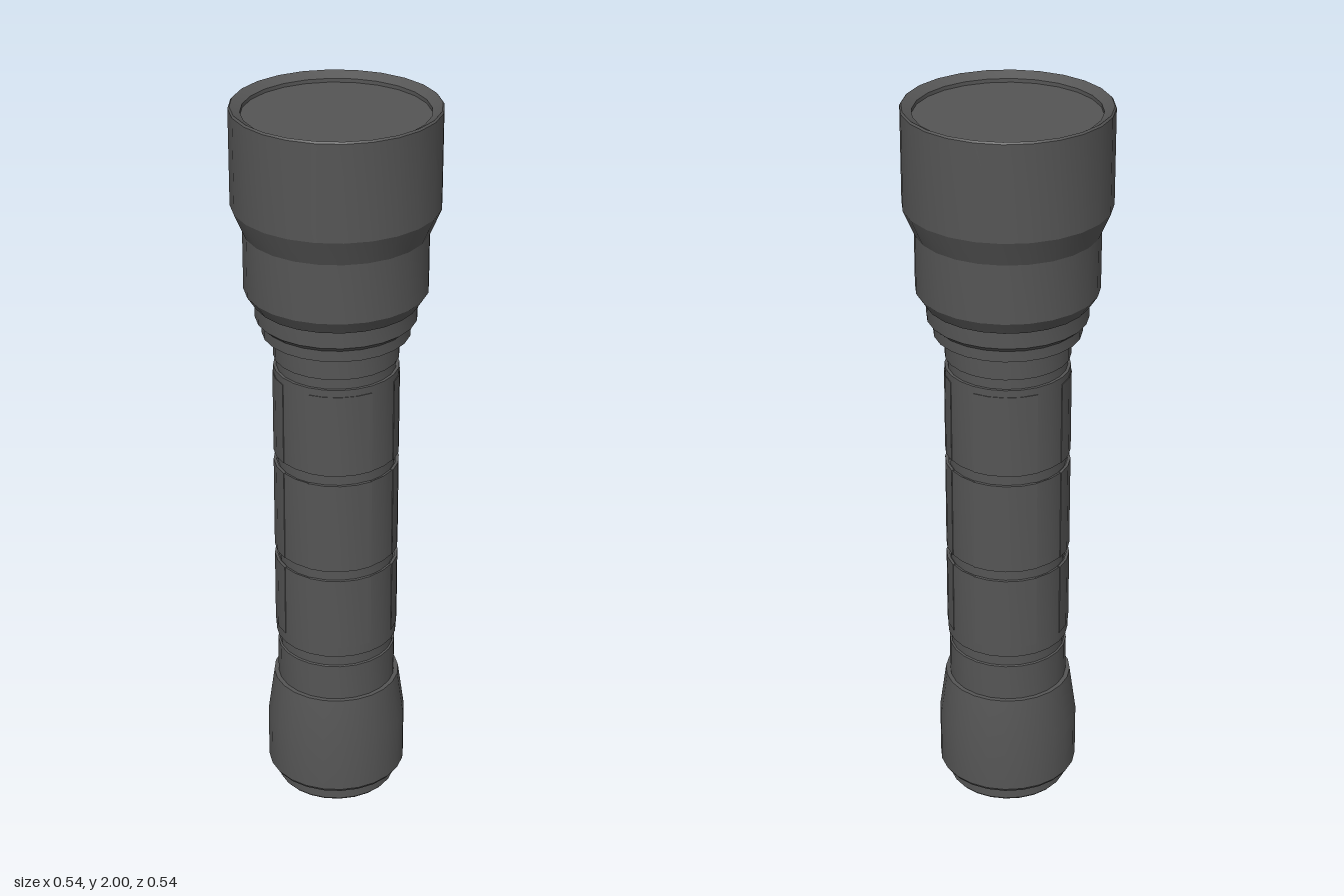
import * as THREE from 'three';
import { toCreasedNormals } from 'three/addons/utils/BufferGeometryUtils.js';

const SIDES = 24;
const material = new THREE.MeshStandardMaterial({ color: 0x555555 });

function addMesh(group, name, geometry) {
  const mesh = new THREE.Mesh(toCreasedNormals(geometry, 0.32), material);
  mesh.name = name;
  group.add(mesh);
  return mesh;
}

// Turned part from [radius, height] pairs, listed bottom to top
function addTurned(group, name, profile) {
  const points = profile.map(([r, y]) => new THREE.Vector2(r, y));
  return addMesh(group, name, new THREE.LatheGeometry(points, SIDES));
}

// Thin curved panel lying on the tube, aligned with its facets
function gripPanel(centreDeg, height) {
  const inner = [], outer = [];
  for (let i = -2; i <= 2; i++) {
    const a = THREE.MathUtils.degToRad(centreDeg + i * 15);
    outer.push(new THREE.Vector2(Math.cos(a) * 0.168, Math.sin(a) * 0.168));
    inner.unshift(new THREE.Vector2(Math.cos(a) * 0.16, Math.sin(a) * 0.16));
  }
  const shape = new THREE.Shape([...outer, ...inner]);
  const geometry = new THREE.ExtrudeGeometry(shape, { depth: height, bevelEnabled: false });
  return geometry.rotateX(-Math.PI / 2);
}

export function createModel() {
  const model = new THREE.Group();
  model.name = 'flashlight';

  // Tail button and flared tail cap
  addTurned(model, 'tailButton', [[0, 0], [0.16, 0], [0.165, 0.006], [0.165, 0.05]]);
  addTurned(model, 'tailCap', [
    [0.15, 0.045], [0.185, 0.045], [0.192, 0.055], [0.192, 0.21], [0.174, 0.34], [0.15, 0.34],
  ]);

  // Handle tube with ring grooves
  const tube = [[0.162, 0.33], [0.162, 0.445]];
  const sections = [[0.48, 0.72], [0.75, 1.01], [1.04, 1.29]];
  for (const [low, high] of sections) {
    tube.push([0.157, low - 0.033], [0.157, low], [0.166, low], [0.166, high]);
  }
  tube.push([0.158, 1.29], [0.158, 1.32], [0.166, 1.32], [0.166, 1.4]);
  addTurned(model, 'handleTube', tube);

  // Shallow grip panels between the grooves
  const panelSpans = [[0.51, 0.72], [0.75, 1.01], [1.04, 1.27]];
  for (const angle of [45, 135, 225, 315]) {
    for (const [low, high] of panelSpans) {
      addMesh(model, 'gripPanel', gripPanel(angle, high - low)).position.y = low;
    }
  }

  // Stepped neck
  addTurned(model, 'neck', [
    [0.15, 1.385], [0.195, 1.385], [0.195, 1.415], [0.212, 1.43], [0.212, 1.475],
    [0.205, 1.475], [0.205, 1.49],
  ]);

  // Head with inward sloping rim
  addTurned(model, 'head', [
    [0.19, 1.475], [0.217, 1.475], [0.24, 1.51], [0.24, 1.67], [0.27, 1.74],
    [0.27, 1.995], [0.266, 2], [0.24, 1.985], [0.24, 1.965],
  ]);

  // Flat lens set inside the rim
  const lens = addMesh(model, 'lens', new THREE.CircleGeometry(0.24, SIDES).rotateX(-Math.PI / 2));
  lens.position.y = 1.975;

  return model;
}
